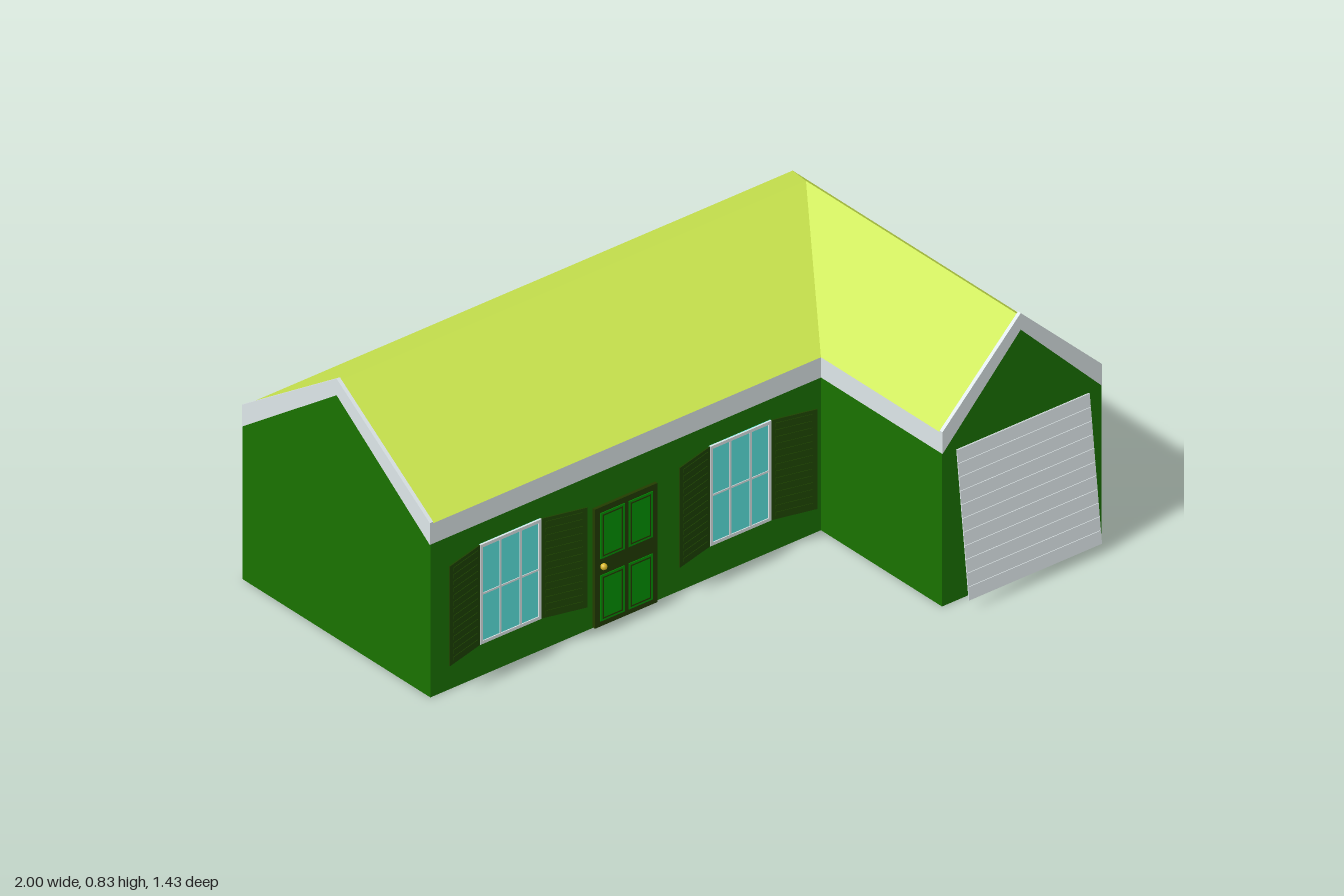
import * as THREE from 'three';

const paint = (name, color, side = THREE.FrontSide) => {
  const m = new THREE.MeshStandardMaterial({ color, side });
  m.name = name;
  return m;
};

export function createModel() {
  const house = new THREE.Group();
  house.name = 'house';

  const wallGreen = paint('wall green', 0x1a7200, THREE.DoubleSide);
  const roofLime = paint('roof lime', 0xcbe74f, THREE.DoubleSide);
  const trim = paint('trim grey', 0xdde6e8, THREE.DoubleSide);
  const glass = paint('window glass', 0x5ce8e2);
  const shutterGreen = paint('shutter green', 0x1c4200);
  const doorGreen = paint('door dark green', 0x223c00);
  const panelGreen = paint('door panel green', 0x009400);
  const brass = paint('brass', 0xd8b828);
  const floorBrown = paint('floor brown', 0xd5bd80, THREE.DoubleSide);

  const add = (parent, name, geo, mat, x = 0, y = 0, z = 0) => {
    const mesh = new THREE.Mesh(geo, mat);
    mesh.name = name;
    mesh.position.set(x, y, z);
    parent.add(mesh);
    return mesh;
  };
  const box = (parent, name, mat, w, h, d, x, y, z) =>
    add(parent, name, new THREE.BoxGeometry(w, h, d), mat, x, y, z);

  // Flat convex polygons, each fanned into triangles
  const faces = (name, mat, polys) => {
    const p = [];
    for (const q of polys)
      for (let i = 1; i < q.length - 1; i++) p.push(...q[0], ...q[i], ...q[i + 1]);
    const geo = new THREE.BufferGeometry();
    geo.setAttribute('position', new THREE.Float32BufferAttribute(p, 3));
    geo.computeVertexNormals();
    return add(house, name, geo, mat);
  };

  // L-shaped plan
  const L = -0.998, R = 0.957, B = -0.68, F = 0.13, W = 0.39, G = 0.652;
  const wallTop = 0.49, eave = 0.555, ridge = 0.825;
  const rx = 0.668, rz = -0.272;
  const plan = [[L, B], [L, F], [W, F], [W, G], [R, G], [R, B]];
  const band = (y0, y1, skipGables) => plan.flatMap(([x, z], i) => {
    if (skipGables && (i === 0 || i === 3)) return [];
    const [u, v] = plan[(i + 1) % plan.length];
    return [[[x, y0, z], [u, y0, v], [u, y1, v], [x, y1, z]]];
  });

  faces('walls', wallGreen, [
    ...band(0, wallTop, false),
    [[L, wallTop, B], [L, wallTop, F], [L, 0.8, rz]],
    [[W, wallTop, G], [R, wallTop, G], [rx, 0.8, G]],
  ]);
  faces('fascia', trim, band(wallTop, eave, true));
  faces('floor', floorBrown, [
    [[L, 0, B], [R, 0, B], [R, 0, F], [L, 0, F]],
    [[W, 0, F], [R, 0, F], [R, 0, G], [W, 0, G]],
  ]);
  faces('roof', roofLime, [
    [[L, eave, B], [L, ridge, rz], [rx, ridge, rz], [R, eave, B]],
    [[L, ridge, rz], [L, eave, F], [W, eave, F], [rx, ridge, rz]],
    [[rx, ridge, rz], [W, eave, F], [W, eave, G], [rx, ridge, G]],
    [[rx, ridge, rz], [rx, ridge, G], [R, eave, G], [R, eave, B]],
  ]);

  // Sloping boards on both gables, standing just above the roof
  const rake = (name, a, peak, b) => {
    const s = new THREE.Shape([[a, wallTop], [peak, 0.782], [b, wallTop],
      [b, 0.56], [peak, 0.835], [a, 0.56]].map(([x, y]) => new THREE.Vector2(x, y)));
    const geo = new THREE.ExtrudeGeometry(s, { depth: 0.012, bevelEnabled: false });
    return add(house, name, geo, trim);
  };
  rake('frontGableBoards', W, rx, R).position.z = G - 0.01;
  const side = rake('leftGableBoards', B, rz, F);
  side.rotation.y = -Math.PI / 2;
  side.position.x = L + 0.01;

  // Window with frame, glazing bars and two half-open shutters
  const windowUnit = (x, z, turn) => {
    const g = new THREE.Group();
    g.name = 'window';
    g.position.set(x, 0.265, z);
    g.rotation.y = turn;
    house.add(g);
    const w = 0.218, h = 0.32;
    box(g, 'glass', glass, w, h, 0.004, 0, 0, 0.002);
    for (const s of [-1, 1]) {
      box(g, 'frameSide', trim, 0.01, h, 0.006, s * (w / 2 - 0.005), 0, 0.004);
      box(g, 'frameEnd', trim, w, 0.01, 0.006, 0, s * (h / 2 - 0.005), 0.004);
      box(g, 'verticalBar', trim, 0.006, h, 0.004, s * w / 6, 0, 0.004);

      const shutter = new THREE.Group();
      shutter.name = 'shutter';
      shutter.position.set(s * w / 2, 0, 0.004);
      shutter.rotation.y = -s * 0.25;
      g.add(shutter);
      box(shutter, 'shutterPanel', shutterGreen, 0.14, h, 0.004, s * 0.07, 0, 0);
      for (let i = 0; i < 14; i++)
        box(shutter, 'slat', shutterGreen, 0.112, 0.012, 0.004,
          s * 0.069, -0.143 + i * 0.022, 0.002);
    }
    box(g, 'crossBar', trim, w, 0.006, 0.004, 0, 0, 0.004);
  };
  for (const x of [-0.717, 0.1]) windowUnit(x, F, 0);
  for (const z of [0.332, -0.365]) windowUnit(R, z, Math.PI / 2);
  for (const x of [-0.69, -0.03, 0.663]) windowUnit(x, B, Math.PI);

  // Front door with four panels and a knob
  const door = new THREE.Group();
  door.name = 'frontDoor';
  door.position.set(-0.31, 0, F);
  house.add(door);
  box(door, 'doorLeaf', doorGreen, 0.222, 0.382, 0.01, 0, 0.193, 0.005);
  for (const x of [-0.05, 0.05])
    for (const y of [0.092, 0.292]) {
      box(door, 'doorPanel', panelGreen, 0.086, 0.147, 0.004, x, y, 0.01);
      for (const s of [-1, 1]) {
        box(door, 'panelMoulding', doorGreen, 0.004, 0.135, 0.004, x + s * 0.034, y, 0.011);
        box(door, 'panelMoulding', doorGreen, 0.072, 0.004, 0.004, x, y + s * 0.065, 0.011);
      }
    }
  add(door, 'doorKnob', new THREE.SphereGeometry(0.01, 12, 8), brass, -0.088, 0.197, 0.02);

  // Garage door of slats, swung out at the bottom
  const garage = new THREE.Group();
  garage.name = 'garageDoor';
  garage.position.set(0.672, 0.488, G + 0.006);
  garage.rotation.x = -0.115;
  house.add(garage);
  const count = 11, step = 0.462 / count;
  box(garage, 'garageBacking', trim, 0.47, 0.462, 0.002, 0, -0.231, -0.001);
  for (let i = 0; i < count; i++)
    box(garage, 'garageSlat', trim, 0.472, step - 0.0015, 0.003, 0, -(i + 0.5) * step, 0.001);

  return house;
}
